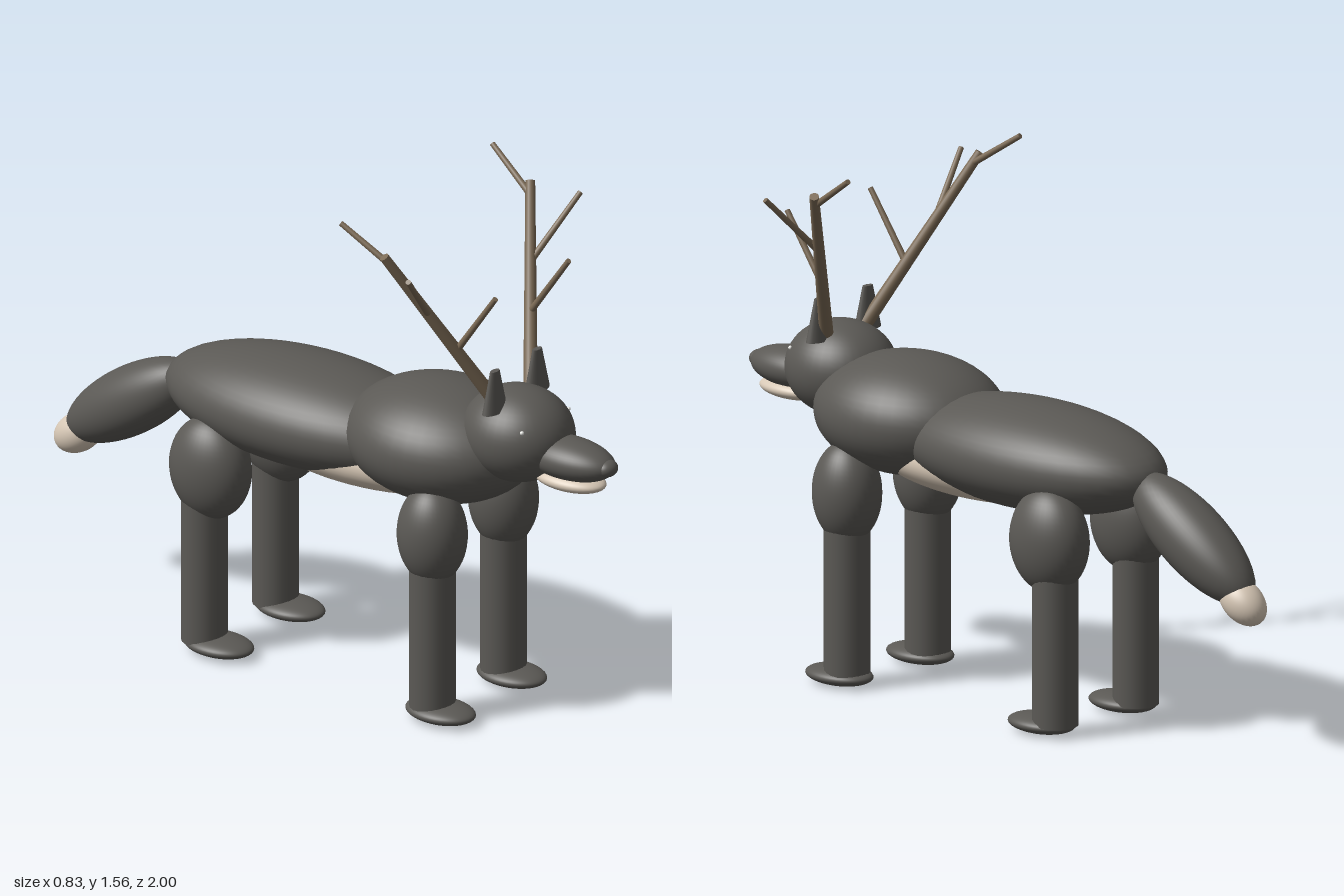
import * as THREE from 'three';

const material = (name, color) => {
  const m = new THREE.MeshStandardMaterial({ color });
  m.name = name;
  return m;
};

export function createModel() {
  const model = new THREE.Group();
  model.name = 'antleredFox';
  const fur = material('charcoal fur', 0x5b5955);
  const cream = material('cream fur', 0xd6c7b5);
  const horn = material('antler brown', 0x7b6a55);
  const white = material('eye white', 0xf4f4f0);
  const up = new THREE.Vector3(0, 1, 0);

  const add = (name, geometry, mat, position) => {
    const mesh = new THREE.Mesh(geometry, mat);
    mesh.name = name;
    mesh.position.set(...position);
    model.add(mesh);
    return mesh;
  };

  // Ellipsoid with given centre and radii, pitched about x
  const blob = (name, mat, centre, radii, pitch = 0) => {
    const mesh = add(name, new THREE.SphereGeometry(1, 40, 28), mat, centre);
    mesh.scale.set(...radii);
    mesh.rotation.x = pitch;
    return mesh;
  };

  // Tapered rod between two points
  const rod = (name, mat, from, to, r0, r1) => {
    const a = new THREE.Vector3(...from);
    const d = new THREE.Vector3(...to).sub(a);
    const mid = a.clone().addScaledVector(d, 0.5);
    const mesh = add(name, new THREE.CylinderGeometry(r1, r0, d.length(), 20), mat, mid.toArray());
    mesh.quaternion.setFromUnitVectors(up, d.normalize());
    return mesh;
  };

  // Torso
  blob('hindBody', fur, [0, 0.755, -0.1], [0.235, 0.155, 0.48]);
  blob('chest', fur, [0, 0.79, 0.38], [0.25, 0.175, 0.3]);
  blob('belly', cream, [0, 0.693, 0.1], [0.18, 0.1, 0.4]);

  // Head
  blob('head', fur, [0, 0.875, 0.65], [0.155, 0.14, 0.17]);
  blob('snout', fur, [0, 0.843, 0.83], [0.084, 0.06, 0.158]);
  blob('chin', cream, [0, 0.78, 0.835], [0.07, 0.03, 0.12]);
  blob('nose', fur, [0, 0.845, 0.968], [0.035, 0.025, 0.03]);

  // Tail
  blob('tail', fur, [0, 0.615, -0.73], [0.1, 0.1, 0.26], -0.585);
  blob('tailTip', cream, [0, 0.465, -0.922], [0.058, 0.058, 0.085], -0.585);

  for (const [side, s] of [['left', 1], ['right', -1]]) {
    blob(side + 'Eye', white, [s * 0.11, 0.934, 0.747], [0.006, 0.006, 0.006]);

    // Flattened cone ear
    const ear = add(side + 'Ear', new THREE.CylinderGeometry(0.019, 0.05, 0.125, 24), fur, [s * 0.1, 1.035, 0.642]);
    ear.scale.z = 0.5;

    // Antler beam with three tines
    const antler = (part, from, to, r0, r1) =>
      rod(side + part, horn, [s * from[0], from[1], from[2]], [s * to[0], to[1], to[2]], r0, r1);
    antler('AntlerBeam', [0.065, 0.96, 0.645], [0.345, 1.48, 0.432], 0.021, 0.014);
    antler('LowerTine', [0.173, 1.17, 0.565], [0.173, 1.36, 0.7], 0.01, 0.008);
    antler('MiddleTine', [0.245, 1.29, 0.513], [0.407, 1.458, 0.565], 0.01, 0.008);
    antler('UpperTine', [0.325, 1.445, 0.45], [0.358, 1.552, 0.287], 0.01, 0.008);

    // Legs: thigh, shank and paw
    for (const [end, z, thighZ, pawZ, ry, rz] of [
      ['Front', 0.47, 0.47, 0.5, 0.15, 0.105],
      ['Rear', -0.345, -0.323, -0.293, 0.155, 0.13],
    ]) {
      const x = s * 0.168;
      blob(side + end + 'Thigh', fur, [x, 0.57, thighZ], [0.096, ry, rz]);
      rod(side + end + 'Shank', fur, [x, 0.03, z], [x, 0.56, z], 0.067, 0.067);
      blob(side + end + 'Paw', fur, [x, 0.028, pawZ], [0.078, 0.028, 0.112]);
    }
  }
  return model;
}
